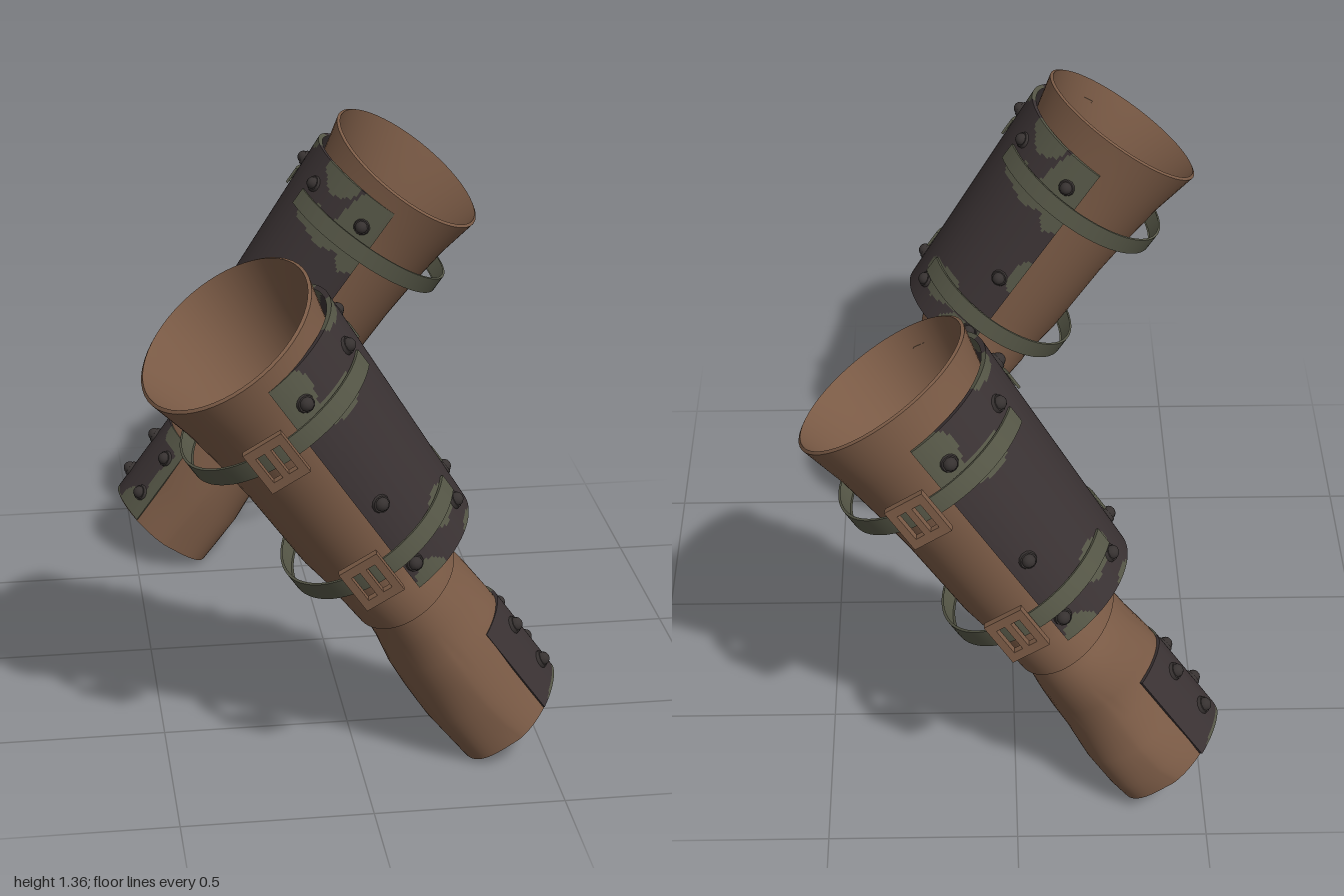
import * as THREE from 'three';
import { toCreasedNormals } from 'three/addons/utils/BufferGeometryUtils.js';

const mat = (name, color) => new THREE.MeshStandardMaterial({ name, color, side: THREE.DoubleSide });
const leather = mat('brown leather', 0x7b5b46);
const dark = mat('dark plate', 0x3b3334);
const olive = mat('olive strap', 0x565747);
const metal = mat('dark rivet', 0x373231);
const DEG = Math.PI / 180;

// Cross-section row: [height, radius x, radius z, centre x, centre z,
// roundness of the +x half, roundness of the -x half, tilt towards z]
function rowPoint([y, rx, rz, cx = 0, cz = 0, p = 2, q = 2, tilt = 0], a, drop = 0) {
  const c = Math.cos(a), s = Math.sin(a), e = 2 / (c > 0 ? p : q);
  const pow = v => Math.sign(v) * Math.abs(v) ** e;
  const z = cz + (rz - drop) * pow(s);
  return new THREE.Vector3(cx + (rx - drop) * pow(c), y + tilt * z, z);
}

// Grid surface; pick(i, j) chooses the material group of each cell
function grid(na, nt, point, pick = () => 0) {
  const pos = [], parts = [[], []];
  for (let j = 0; j <= nt; j++)
    for (let i = 0; i <= na; i++) pos.push(...point(i, j).toArray());
  for (let j = 0; j < nt; j++)
    for (let i = 0; i < na; i++) {
      const a = j * (na + 1) + i, b = a + na + 1;
      parts[pick(i, j)].push(a, b, b + 1, a, b + 1, a + 1);
    }
  const g = new THREE.BufferGeometry();
  g.setAttribute('position', new THREE.Float32BufferAttribute(pos, 3));
  g.setIndex([...parts[0], ...parts[1]]);
  if (parts[1].length) {
    g.addGroup(0, parts[0].length, 0);
    g.addGroup(parts[0].length, parts[1].length, 1);
  }
  return toCreasedNormals(g, 40 * DEG);
}

// Full tube through the rows
const loft = rows => grid(56, rows.length - 1, (i, j) => rowPoint(rows[j], i / 56 * Math.PI * 2));

// Curved sheet between two rows; its border folds inward to give thickness
function sheet(low, high, a0, a1, na, nt, thick, pick) {
  const clamp = (v, n) => Math.min(Math.max((v - 1) / (n - 2), 0), 1);
  const ang = i => (a0 + (a1 - a0) * clamp(i, na)) * DEG;
  const row = j => low.map((v, k) => v + (high[k] - v) * clamp(j, nt));
  const point = (i, j) =>
    rowPoint(row(j), ang(i), i === 0 || j === 0 || i === na || j === nt ? thick : 0);
  return grid(na, nt, point, pick && ((i, j) => pick(ang(i + 0.5) / DEG, row(j + 0.5)[0])));
}

// Camouflage rule: inside any blob [angle, height, angle radius, height radius]
const camo = blobs => (a, y) => blobs.some(([ba, by, ra, ry]) => {
  const u = (a - ba) / ra, v = (y - by) / ry;
  return u * u + v * v < 1 + 0.2 * Math.sin(a * 0.25 + y * 25);
}) ? 1 : 0;

function add(group, name, geometry, material) {
  const m = new THREE.Mesh(geometry, material);
  m.name = name;
  group.add(m);
  return m;
}

const FOREARM = [[0.578, 0.238, 0.25, 0, 0, 2], [1.274, 0.271, 0.272, 0, 0, 2]];
const HAND = [[0.004, 0.163, 0.212, -0.01, 0, 1.6], [0.288, 0.168, 0.208, -0.018, 0, 1.6]];
const FOREARM_CAMO = [
  [74, 1.22, 14, 0.1], [14, 1.275, 15, 0.03], [-72, 1.19, 20, 0.14], [-40, 1.26, 16, 0.05],
  [50, 1.12, 22, 0.04], [-48, 1.11, 26, 0.045], [68, 0.585, 12, 0.04], [-70, 0.6, 22, 0.06],
  [34, 0.69, 18, 0.045], [-36, 0.69, 22, 0.05], [-80, 0.88, 8, 0.06], [20, 0.575, 12, 0.02],
];
const HAND_CAMO = [[-46, 0.12, 11, 0.14], [-32, 0.28, 20, 0.04], [-32, 0.02, 18, 0.05], [10, 0, 34, 0.014]];

// Domed rivet standing on a sheet
function rivet(group, [low, high], angle, y) {
  const k = (y - low[0]) / (high[0] - low[0]);
  const row = low.map((v, i) => v + (high[i] - v) * k);
  const a = angle * DEG, p = rowPoint(row, a);
  const d = rowPoint(row, a + 0.02).sub(rowPoint(row, a - 0.02));
  const r = new THREE.Group();
  r.name = 'rivet';
  const base = add(r, 'rivetBase', new THREE.CylinderGeometry(0.022, 0.025, 0.01, 12), metal);
  base.position.y = 0.003;
  const dome = add(r, 'rivetDome', new THREE.SphereGeometry(0.019, 10, 4, 0, Math.PI * 2, 0, Math.PI / 2), metal);
  dome.position.y = 0.006;
  r.position.copy(p);
  r.quaternion.setFromUnitVectors(new THREE.Vector3(0, 1, 0), new THREE.Vector3(d.z, 0, -d.x).normalize());
  group.add(r);
}

// Square frame with two slots
function buckle(group, x, y, z) {
  const rect = (T, cx, w, h) => {
    const s = new T();
    s.moveTo(cx - w / 2, -h / 2).lineTo(cx + w / 2, -h / 2).lineTo(cx + w / 2, h / 2)
      .lineTo(cx - w / 2, h / 2).closePath();
    return s;
  };
  const shape = rect(THREE.Shape, 0, 0.112, 0.13);
  for (const sx of [-0.022, 0.022]) shape.holes.push(rect(THREE.Path, sx, 0.026, 0.08));
  const b = add(group, 'buckle', new THREE.ExtrudeGeometry(shape, { depth: 0.02, bevelEnabled: false }), leather);
  b.position.set(x, y, z);
  b.rotation.y = -0.1;
}

function gauntlet(name, side) {
  const g = new THREE.Group();
  g.name = name;

  // Flared forearm tube with an inner wall and a slightly tilted rim
  const rim = -0.1 * side;
  add(g, 'forearmSleeve', loft([
    [0.5, 0.137, 0.18, -0.02], [0.486, 0.154, 0.209, -0.02], [0.58, 0.163, 0.207, -0.018],
    [0.6, 0.162, 0.202, -0.017], [0.72, 0.186, 0.212, -0.01], [0.96, 0.201, 0.23], [1.1, 0.211, 0.242],
    [1.22, 0.226, 0.256, 0.002, 0, 2, 2, rim / 2], [1.35, 0.254, 0.282, 0.005, 0, 2, 2, rim],
    [1.355, 0.246, 0.274, 0.005, 0, 2, 2, rim], [1.22, 0.214, 0.244, 0.002, 0, 2, 2, rim / 2],
    [0.96, 0.189, 0.218], [0.72, 0.173, 0.199, -0.01], [0.5, 0.137, 0.18, -0.02],
  ]), leather);

  // Open hand piece: wavy on one side, squared towards the palm at its end
  const w = 0.01 * side;
  add(g, 'handGuard', loft([
    [0, 0.157, 0.198, -0.01, w * 0.5, 1.6, 3.6], [0.06, 0.161, 0.204, -0.014, 0, 1.6, 3.2],
    [0.15, 0.166, 0.204, -0.022, w * 0.3, 1.6, 2.5], [0.24, 0.167, 0.195, -0.022, w, 1.65],
    [0.32, 0.162, 0.192, -0.022, w * 0.5, 1.75], [0.4, 0.15, 0.2, -0.02, -w, 1.9],
    [0.46, 0.143, 0.197, -0.02, -w * 0.5], [0.53, 0.137, 0.186, -0.02],
  ]), leather);

  // Camouflaged armour plates
  add(g, 'forearmPlate', sheet(...FOREARM, -80, 80, 90, 80, 0.014, camo(FOREARM_CAMO)), [dark, olive]);
  add(g, 'handPlate', sheet(...HAND, -45, 47, 60, 60, 0.012, camo(HAND_CAMO)), [dark, olive]);

  // Rivets
  for (const s of [-1, 1])
    for (const [a, y] of [[68, 1.187], [23, 1.188], [68, 0.837], [73, 0.645], [21, 0.65]]) rivet(g, FOREARM, a * s, y);
  for (const a of [-32, 16])
    for (const y of [0.072, 0.208]) rivet(g, HAND, a, y);

  // Straps that stop short of the plate's middle, with their buckles
  for (const [y, rx, rz, bz] of [[1.126, 0.272, 0.288, 0.297], [0.698, 0.25, 0.28, 0.284]]) {
    add(g, 'strap', sheet([y - 0.026, rx, rz], [y + 0.026, rx, rz], 17, 343, 72, 3, 0.007), olive);
    buckle(g, -0.034, y, bz);
  }
  return g;
}

export function createModel() {
  const model = new THREE.Group();
  model.name = 'gauntletPair';
  for (const side of [1, -1]) {
    const g = gauntlet(side > 0 ? 'frontGauntlet' : 'backGauntlet', side);
    g.rotation.set(4 * DEG, side > 0 ? 0 : Math.PI, 34.3 * DEG);
    g.position.set(0.42 * side, 0.105, side > 0 ? 0.607 : -0.727);
    model.add(g);
  }
  // Centre the pair and stand it on the ground
  model.updateMatrixWorld(true);
  const box = new THREE.Box3().setFromObject(model, true);
  const c = box.getCenter(new THREE.Vector3());
  model.position.set(-c.x, -box.min.y, -c.z);
  return model;
}
